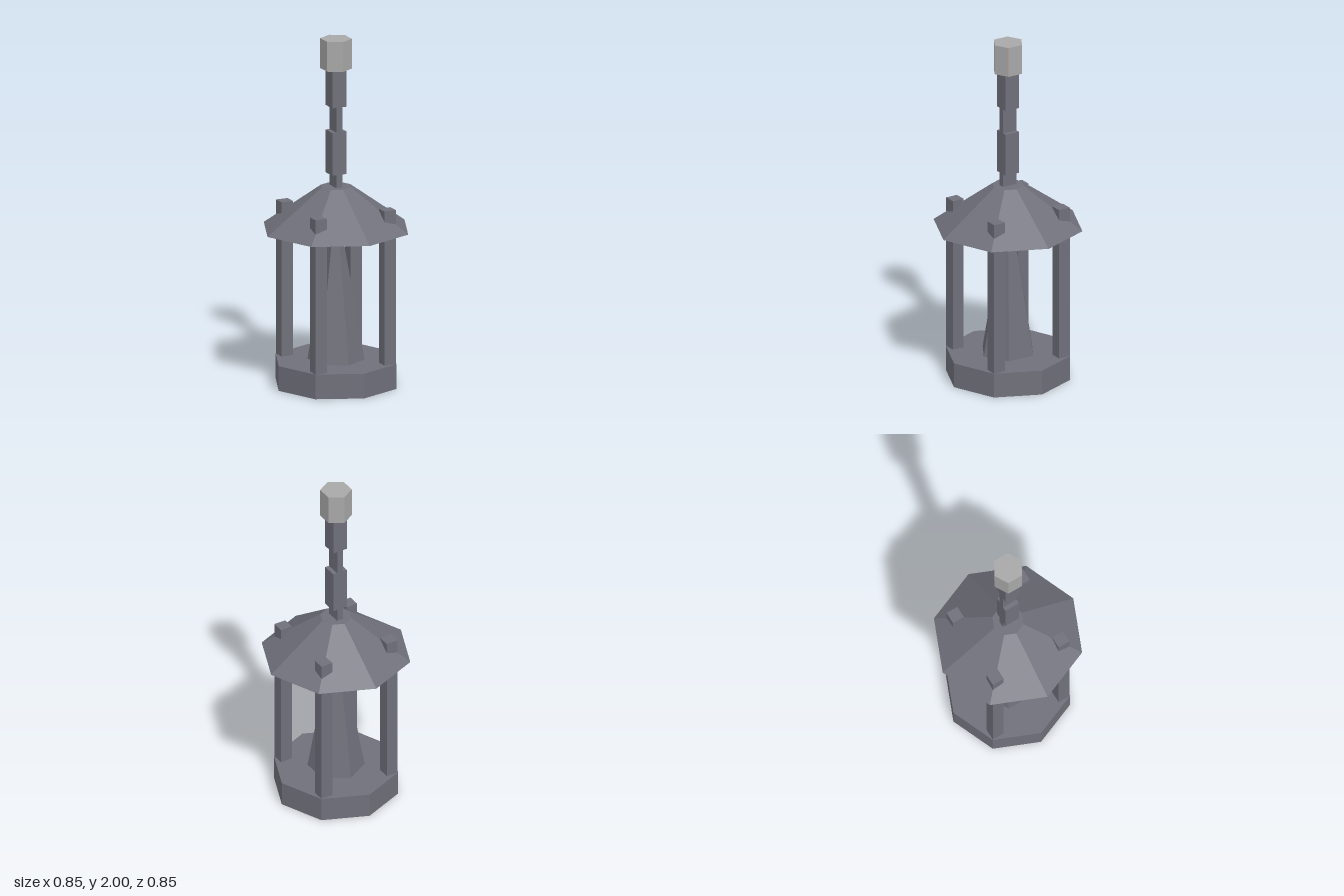
import * as THREE from 'three';

export function createModel() {
  const group = new THREE.Group();
  group.name = 'lantern';

  const iron = new THREE.MeshStandardMaterial({ color: 0x70707b, flatShading: true });
  iron.name = 'dark iron';
  const steel = new THREE.MeshStandardMaterial({ color: 0xa8a8a9, flatShading: true });
  steel.name = 'pale steel';

  // Adds a part spanning y0 to y1
  const add = (name, geometry, material, y0, y1, x = 0, z = 0) => {
    const mesh = new THREE.Mesh(geometry, material);
    mesh.name = name;
    mesh.position.set(x, (y0 + y1) / 2, z);
    group.add(mesh);
  };
  const prism = (name, rTop, rBottom, y0, y1, sides, material = iron) =>
    add(name, new THREE.CylinderGeometry(rTop, rBottom, y1 - y0, sides), material, y0, y1);
  const bar = (name, w, d, y0, y1, x = 0, z = 0) =>
    add(name, new THREE.BoxGeometry(w, y1 - y0, d), iron, y0, y1, x, z);

  // Octagonal base and roof
  prism('base', 0.357, 0.357, 0, 0.143, 8);
  prism('roof', 0.09, 0.427, 0.9, 1.145, 8);

  // Tapered six-sided core
  prism('core', 0, 0.16, 0.143, 1.08, 6);

  // Four corner posts that poke through the roof
  for (const x of [-0.215, 0.215]) {
    for (const z of [-0.215, 0.215]) bar('post', 0.071, 0.071, 0.1, 1.036, x, z);
  }

  // Hanging chain of alternating narrow and wide links
  const links = [
    ['narrowLink', 0.038, 1.145, 1.22],
    ['wideLink', 0.088, 1.22, 1.467],
    ['narrowLink', 0.038, 1.467, 1.61],
    ['wideLink', 0.088, 1.61, 1.827],
  ];
  for (const [name, width, y0, y1] of links) bar(name, width, 0.088, y0, y1);

  // Hexagonal mount at the top
  prism('mount', 0.089, 0.089, 1.827, 2, 6, steel);

  return group;
}
